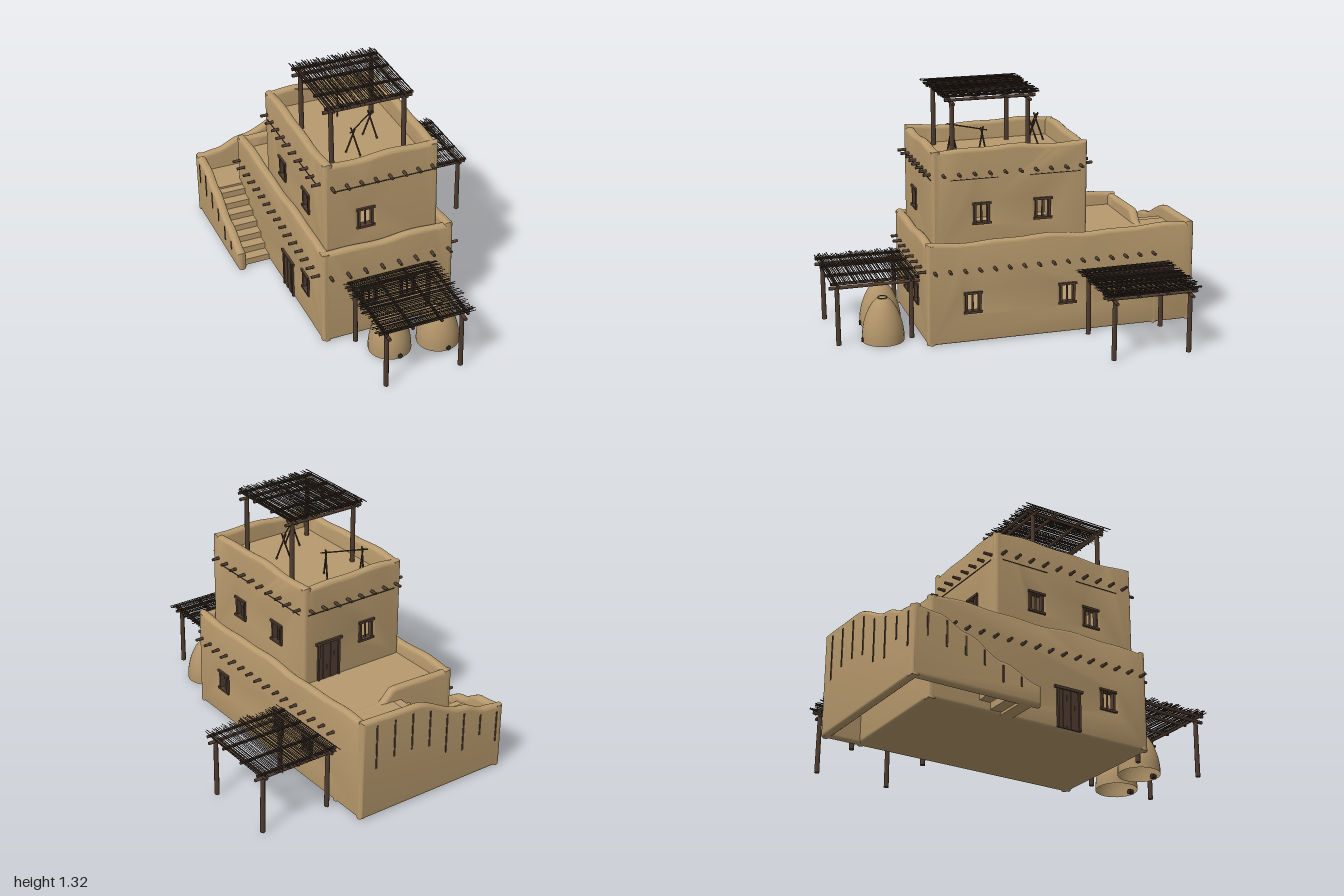
import * as THREE from 'three';
import { toCreasedNormals } from 'three/addons/utils/BufferGeometryUtils.js';

const material = (name, color) => {
  const m = new THREE.MeshStandardMaterial({ color });
  m.name = name;
  return m;
};

export function createModel() {
  const adobe = material('adobe', 0xb89a6d);
  const adobeOpen = material('ovenClay', 0xb2956a);
  adobeOpen.side = THREE.DoubleSide;
  const wood = material('wood', 0x503d30);
  const twig = material('twig', 0x382d25);
  const model = new THREE.Group();
  model.name = 'adobeHouse';

  let seed = 7;
  const rand = () => (seed = (seed * 16807) % 2147483647) / 2147483647;
  const V = (x, y, z) => new THREE.Vector3(x, y, z);

  const add = (parent, name, geo, mat, x = 0, y = 0, z = 0) => {
    const m = new THREE.Mesh(geo, mat);
    m.name = name;
    m.position.set(x, y, z);
    parent.add(m);
    return m;
  };
  const group = (name, x = 0, y = 0, z = 0, ry = 0, parent = model) => {
    const g = new THREE.Group();
    g.name = name;
    g.position.set(x, y, z);
    g.rotation.y = ry;
    parent.add(g);
    return g;
  };
  // box given by its min and max corners
  const block = (parent, name, x0, x1, y0, y1, z0, z1, mat) =>
    add(parent, name, new THREE.BoxGeometry(x1 - x0, y1 - y0, z1 - z0), mat, (x0 + x1) / 2, (y0 + y1) / 2, (z0 + z1) / 2);
  // round pole between two points
  const rod = (parent, name, a, b, r, mat = wood, sides = 7) => {
    const m = add(parent, name, new THREE.CylinderGeometry(r * 0.9, r, a.distanceTo(b), sides), mat);
    m.position.copy(a).add(b).multiplyScalar(0.5);
    m.quaternion.setFromUnitVectors(V(0, 1, 0), b.clone().sub(a).normalize());
    return m;
  };

  // Rounded mud wall with an uneven top and window holes; runs along x, or along z if alongZ
  const T = 0.05;
  const wall = (name, u0, u1, y0, top, at, alongZ, holes = []) => {
    const B = 0.02, N = 28, s = new THREE.Shape();
    s.moveTo(u0, y0);
    s.lineTo(u1, y0);
    for (let i = 0; i <= N; i++) {
      const u = u1 + (u0 - u1) * i / N;
      s.lineTo(u, top(u));
    }
    s.closePath();
    for (const [u, y, w = 0.08, h = 0.1] of holes) {
      const p = new THREE.Path();
      p.moveTo(u - w / 2, y - h / 2);
      p.lineTo(u - w / 2, y + h / 2);
      p.lineTo(u + w / 2, y + h / 2);
      p.lineTo(u + w / 2, y - h / 2);
      p.closePath();
      s.holes.push(p);
    }
    let g = new THREE.ExtrudeGeometry(s, {
      depth: T - 2 * B, bevelEnabled: true, bevelThickness: B, bevelSize: B, bevelOffset: -B, bevelSegments: 4,
    });
    g.translate(0, 0, B);
    if (alongZ) g.rotateY(-Math.PI / 2).translate(at + T, 0, 0);
    else g.translate(0, 0, at);
    add(model, name, toCreasedNormals(g, 0.7), adobe);
  };
  const wavy = (h, phase) => u => h + 0.006 * Math.sin(u * 9 + phase) + 0.004 * Math.sin(u * 19 + phase * 2);
  // smooth profile through (u, y) points
  const profile = pts => u => {
    let i = 0;
    while (i < pts.length - 2 && u > pts[i + 1][0]) i++;
    const [a, b] = [pts[i], pts[i + 1]];
    return a[1] + (b[1] - a[1]) * THREE.MathUtils.smoothstep(u, a[0], b[0]);
  };

  // Lower storey
  const LX0 = -0.525, LX1 = 0.22, LZ0 = -0.8, LZ1 = 0.51;
  const lowY = 0.225, highY = 0.695;
  wall('lowerFrontWall', LX0, LX1, 0, wavy(0.555, 1), LZ1 - T, false, [[-0.26, lowY], [-0.04, lowY]]);
  wall('lowerLeftWall', -0.99, LZ1, 0, wavy(0.56, 2.5), LX1 - T, true, [[0.26, lowY], [-0.27, lowY], [-0.53, lowY]]);
  wall('lowerRightWall', LZ0, LZ1, 0, wavy(0.56, 0.4), LX0, true, [[0.26, lowY]]);
  wall('lowerBackWall', LX0, LX1, 0, profile([[-0.525, 0.55], [-0.14, 0.56], [-0.06, 0.492], [0.22, 0.492]]), LZ0, false);
  block(model, 'lowerRoof', LX0 + 0.02, LX1 - 0.02, 0.45, 0.49, LZ0 + 0.02, LZ1 - 0.02, adobe);
  block(model, 'groundFloor', LX0 + 0.015, LX1 - 0.015, 0.002, 0.02, LZ0 + 0.015, LZ1 - 0.015, adobe);

  // Upper storey
  const UX0 = -0.485, UX1 = 0.148, UZ0 = -0.4, UZ1 = 0.46;
  const sideHoles = [[0.19, highY], [-0.15, highY]];
  wall('upperFrontWall', UX0, UX1, 0.47, wavy(1.045, 2), UZ1 - T, false, [[-0.26, highY]]);
  wall('upperBackWall', UX0, UX1, 0.47, wavy(1.045, 4), UZ0, false, [[-0.26, highY]]);
  wall('upperLeftWall', UZ0, UZ1, 0.47, wavy(1.048, 1), UX1 - T, true, sideHoles);
  wall('upperRightWall', UZ0, UZ1, 0.47, wavy(1.048, 3), UX0, true, sideHoles);
  block(model, 'upperRoof', UX0 + 0.02, UX1 - 0.02, 0.91, 0.95, UZ0 + 0.02, UZ1 - 0.02, adobe);

  // Outer walls of the stair
  const backTop = profile([[-0.72, 0.37], [-0.6, 0.385], [-0.45, 0.44], [-0.12, 0.56], [0.22, 0.57]]);
  const sideTop = profile([[-1, 0.37], [-0.85, 0.355], [-0.7, 0.29], [-0.5, 0.19], [-0.28, 0.11]]);
  wall('stairBackWall', -0.72, LX1, 0, backTop, -1, false);
  wall('stairSideWall', -1, -0.28, 0, sideTop, -0.72, true);

  // Steps and landings, climbing towards the back and then along it
  const stairs = group('stairs');
  for (let i = 0; i < 7; i++) {
    const z = -0.32 - i * 0.062, y = 0.037 * (i + 1);
    block(stairs, 'lowerStep', -0.69, -0.51, Math.max(0, y - 0.06), y, z - 0.07, z, adobe);
  }
  block(stairs, 'cornerLanding', -0.69, -0.45, 0.2, 0.27, -0.97, -0.745, adobe);
  block(stairs, 'cornerLandingSide', -0.69, -0.51, 0.2, 0.27, -0.78, -0.74, adobe);
  for (let i = 0; i < 6; i++) {
    const x = -0.45 + i * 0.054, y = 0.27 + 0.036 * (i + 1);
    block(stairs, 'upperStep', x, x + 0.06, y - 0.06, y, -0.97, -0.78, adobe);
  }
  block(stairs, 'topLanding', -0.13, 0.2, 0.43, 0.49, -0.97, -0.78, adobe);

  // Windows: sill, lintel and upright bars
  const windowFrame = (x, y, z, ry) => {
    const g = group('windowFrame', x, y, z, ry);
    for (const s of [-1, 1]) {
      block(g, 'windowBeam', -0.052, 0.052, s * 0.054 - 0.006, s * 0.054 + 0.006, -0.03, 0.008, wood);
      block(g, 'windowJamb', s * 0.037 - 0.006, s * 0.037 + 0.006, -0.05, 0.05, -0.025, 0.003, wood);
    }
    rod(g, 'windowBar', V(0, -0.05, -0.012), V(0, 0.05, -0.012), 0.006);
  };
  const H = Math.PI / 2;
  for (const x of [-0.26, -0.04]) windowFrame(x, lowY, LZ1, 0);
  for (const z of [0.26, -0.27, -0.53]) windowFrame(LX1, lowY, z, H);
  windowFrame(LX0, lowY, 0.26, -H);
  windowFrame(-0.26, highY, UZ1, 0);
  windowFrame(-0.26, highY, UZ0, Math.PI);
  for (const z of [0.19, -0.15]) {
    windowFrame(UX1, highY, z, H);
    windowFrame(UX0, highY, z, -H);
  }

  // Plank doors
  const door = (x, y, z, ry) => {
    const g = group('door', x, y, z, ry);
    for (let i = 0; i < 5; i++) block(g, 'doorPlank', -0.06 + i * 0.024, -0.038 + i * 0.024, 0, 0.21, -0.01, 0.004 + (i % 2) * 0.002, wood);
    for (const s of [-1, 1]) block(g, 'doorPost', s * 0.066 - 0.006, s * 0.066 + 0.006, 0, 0.215, -0.01, 0.01, wood);
    block(g, 'doorLintel', -0.085, 0.085, 0.21, 0.225, -0.01, 0.012, wood);
  };
  door(-0.01, 0.49, UZ0, Math.PI);
  door(LX0, 0.01, 0.01, -H);

  // Projecting roof beam ends
  const beamEnds = group('beamEnds');
  const ends = (n, from, to, y, at, dir, alongX) => {
    for (let i = 0; i < n; i++) {
      const u = from + (to - from) * i / (n - 1), a = at - dir * 0.02, b = at + dir * (0.036 + 0.012 * rand());
      if (alongX) rod(beamEnds, 'beamEnd', V(u, y, a), V(u, y, b), 0.009);
      else rod(beamEnds, 'beamEnd', V(a, y, u), V(b, y, u), 0.009);
    }
  };
  ends(8, -0.48, 0.19, 0.41, LZ1, 1, true);
  ends(16, 0.47, -0.76, 0.41, LX1, 1, false);
  ends(16, 0.47, -0.76, 0.41, LX0, -1, false);
  ends(8, -0.445, 0.11, 0.917, UZ1, 1, true);
  ends(8, -0.445, 0.11, 0.917, UZ0, -1, true);
  ends(10, 0.4, -0.36, 0.917, UX1, 1, false);
  ends(10, 0.4, -0.36, 0.917, UX0, -1, false);

  // Dark seam under the upper beams
  for (const z of [UZ0, UZ1]) block(model, 'wallSeam', -0.44, 0.125, 0.888, 0.893, z - 0.003, z + 0.003, twig);
  for (const x of [UX0, UX1]) {
    block(model, 'wallSeam', x - 0.003, x + 0.003, 0.884, 0.888, 0.1, 0.36, twig);
    block(model, 'wallSeam', x - 0.003, x + 0.003, 0.884, 0.888, -0.36, -0.08, twig);
  }

  // Rain streaks on the stair walls
  for (let i = 0; i < 8; i++) {
    const x = 0.13 - i * 0.115, t = backTop(x) - 0.035, len = (0.14 + 0.12 * rand()) * t / 0.45;
    block(model, 'rainStreak', x - 0.005, x + 0.005, t - len, t, -1.003, -0.997, wood);
  }
  for (let i = 0; i < 6; i++) {
    const z = -0.92 + i * 0.105, t = sideTop(z) - 0.025, len = t * (0.35 + 0.2 * rand());
    block(model, 'rainStreak', -0.723, -0.717, t - len, t, z - 0.005, z + 0.005, wood);
  }

  // Stick-roofed shelters
  const shelter = (name, x, y, z, ry, sticks) => {
    const g = group(name, x, y, z, ry);
    for (const sx of [-0.2, 0.2]) {
      for (const sz of [-0.21, 0.21]) rod(g, 'post', V(sx, 0, sz), V(sx + 0.006 * (rand() - 0.5), 0.325, sz), 0.014);
      rod(g, 'sideBeam', V(sx, 0.337, -0.25), V(sx, 0.337, 0.25), 0.009);
    }
    for (const sz of [-0.21, 0.21]) rod(g, 'crossBeam', V(-0.245, 0.322, sz), V(0.245, 0.322, sz), 0.01);
    for (const sz of [-0.225, -0.08, 0.08, 0.225]) rod(g, 'rafter', V(-0.24, 0.35, sz), V(0.24, 0.35, sz + 0.006), 0.009);
    for (let i = 0; i < sticks; i++) {
      const u = -0.236 + 0.472 * i / (sticks - 1), w = 0.008 * (rand() - 0.5), h = 0.359 + 0.004 * rand();
      rod(g, 'roofStick', V(u, h, -0.23 - 0.05 * rand()), V(u + w, h, 0.23 + 0.05 * rand()), 0.0022 + 0.0012 * rand(), twig, 4);
    }
  };
  shelter('roofShelter', -0.185, 0.95, 0.105, 0, 66);
  shelter('sideShelter', 0.48, 0, -0.58, 0, 56);
  shelter('frontShelter', -0.155, 0, 0.76, H, 62);

  // Drying racks on the upper roof
  const rack = (a, b) => {
    const g = group('dryingRack'), along = b.clone().sub(a).normalize();
    const side = V(-along.z, 0, along.x).multiplyScalar(0.035);
    for (const p of [a, b]) for (const s of [-1, 1]) {
      const foot = p.clone().addScaledVector(side, s * 1.2), tip = p.clone().addScaledVector(side, -s * 0.35);
      foot.y = 0.95;
      tip.y = 1.105;
      rod(g, 'rackLeg', foot, tip, 0.005, wood, 5);
    }
    rod(g, 'rackBar', a.clone().addScaledVector(along, -0.03), b.clone().addScaledVector(along, 0.03), 0.004, wood, 5);
  };
  rack(V(-0.33, 1.092, -0.26), V(-0.15, 1.092, -0.18));
  rack(V(-0.24, 1.092, 0.25), V(-0.09, 1.092, 0.12));

  // Beehive ovens
  const ovenProfile = [[0.115, 0], [0.113, 0.05], [0.104, 0.1], [0.088, 0.15], [0.066, 0.195], [0.04, 0.228], [0.018, 0.242], [0, 0.244]]
    .map(p => new THREE.Vector2(...p));
  const ovenCurve = new THREE.SplineCurve(ovenProfile).getPoints(20);
  for (const [x, z] of [[-0.22, 0.675], [0.04, 0.715]]) {
    const g = group('oven', x, 0, z);
    add(g, 'ovenDome', new THREE.LatheGeometry(ovenCurve, 28), adobeOpen);
    rod(g, 'ovenMouth', V(0.01, 0.014, 0.09), V(0.01, 0.014, 0.12), 0.015, twig, 10);
    const ring = add(g, 'smokeHoleRim', new THREE.TorusGeometry(0.024, 0.004, 6, 14), wood, 0, 0.24, 0);
    ring.rotation.x = H;
  }
  return model;
}
